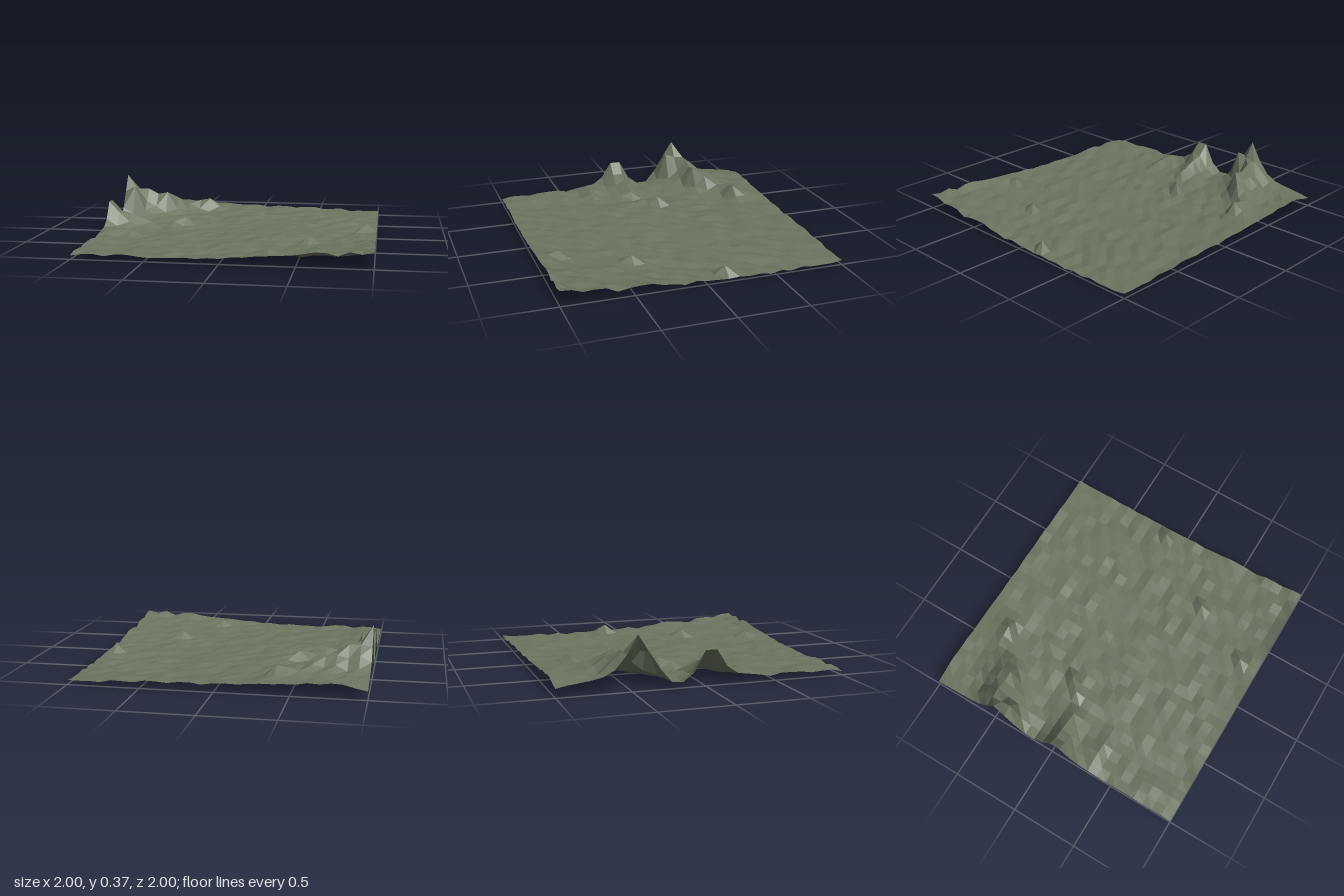
import * as THREE from 'three';

const N = 26; // cells per side

// Relief of the hills on the -x side: row index along z -> heights from x = -1 inward
const hills = {
  0: [0.060, 0.075, 0.095, 0.10, 0.09, 0.095, 0.08, 0.08, 0.075, 0.075],
  1: [0.075, 0.085, 0.09, 0.10, 0.085, 0.09, 0.085, 0.08, 0.08, 0.08],
  2: [0.085, 0.09, 0.10, 0.08, 0.09, 0.08, 0.09, 0.09, 0.10, 0.08],
  3: [0.095, 0.09, 0.10, 0.10, 0.11, 0.10, 0.11, 0.13, 0.145, 0.08],
  4: [0.11, 0.12, 0.10, 0.14, 0.12, 0.14, 0.11, 0.07],
  5: [0.15, 0.19, 0.17, 0.19, 0.18, 0.17, 0.07],
  6: [0.24, 0.25, 0.25, 0.21, 0.225, 0.09],
  7: [0.37, 0.26, 0.16, 0.12, 0.07],
  8: [0.25, 0.29, 0.10, 0.07],
  9: [0.13, 0.08, 0.06],
  12: [0.10, 0.07, 0.06, 0.06],
  13: [0.24, 0.16, 0.14, 0.11, 0.08],
  14: [0.24, 0.16, 0.09, 0.06, 0.05],
  15: [0.12, 0.07, 0.05],
  16: [0.07, 0.06, 0.07],
  17: [0.06, 0.08, 0.08, 0.07],
};

// Single raised points, and the lowest hollow: column, row, height
const mounds = [
  [7, 11, 0.095], [6, 12, 0.07], [25, 11, 0.085], [20, 18, 0.08],
  [17, 24, 0.08], [16, 25, 0.05], [17, 25, 0.065], [18, 25, 0.065], [24, 7, 0],
];

// Front and side rims lifting towards the +x +z corner, counted back from the corner
const frontRim = [0.11, 0.095, 0.11, 0.08, 0.10, 0.10, 0.085, 0.075, 0.07, 0.065, 0.06, 0.05];
const sideRim = [0.11, 0.105, 0.08, 0.085, 0.08, 0.045, 0.06, 0.065, 0.065, 0.045];

function seeded(seed) {
  return () => {
    seed = (seed * 16807) % 2147483647;
    return seed / 2147483647;
  };
}

// Gentle ground: rising to the back on the -x side and to the +x +z corner, rough all over
function groundHeight(x, z, noise) {
  const slope = 0.029 - 0.010 * x;
  const back = 0.045 * Math.max(0, -z - 0.35) * (1 - 0.7 * x);
  const corner = 0.06 * Math.max(0, x + z - 0.9);
  return Math.max(0, slope + back + corner + (noise - 0.5) * 0.028);
}

export function createModel() {
  const group = new THREE.Group();
  const random = seeded(4127);
  const geometry = new THREE.PlaneGeometry(2, 2, N, N).rotateX(-Math.PI / 2);
  const pos = geometry.attributes.position;

  for (let row = 0; row <= N; row++) {
    let noise = random();
    for (let col = 0; col <= N; col++) {
      const i = row * (N + 1) + col;
      noise = 0.25 * noise + 0.75 * random(); // ripples run along x
      let h = groundHeight(pos.getX(i), pos.getZ(i), noise);
      if (hills[row]?.[col] !== undefined) h = hills[row][col];
      if (row === N) h = frontRim[N - col] ?? h;
      else if (col === N) h = sideRim[N - row] ?? h;
      pos.setY(i, h);
    }
  }
  for (const [col, row, h] of mounds) pos.setY(row * (N + 1) + col, h);
  geometry.computeVertexNormals();

  const material = new THREE.MeshStandardMaterial({
    color: 0x6b7560, flatShading: true, side: THREE.DoubleSide,
  });
  const terrain = new THREE.Mesh(geometry, material);
  terrain.name = 'terrain';
  group.add(terrain);
  return group;
}
